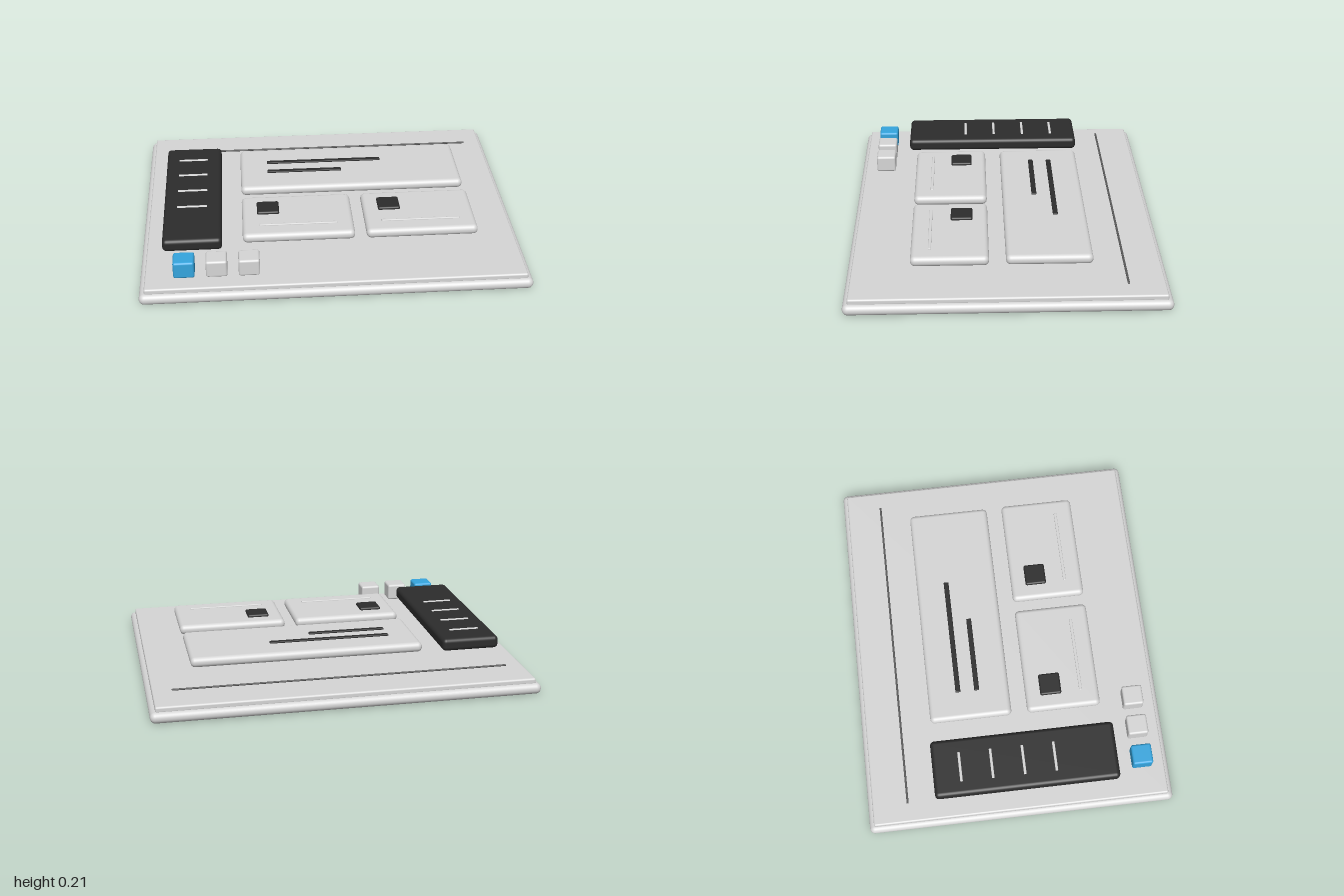
import * as THREE from 'three';
import { RoundedBoxGeometry } from 'three/addons/geometries/RoundedBoxGeometry.js';

const paint = (name, color) => {
  const m = new THREE.MeshStandardMaterial({ color });
  m.name = name;
  return m;
};

export function createModel() {
  const grey = paint('light grey', 0xd6d6d6);
  const dark = paint('charcoal', 0x2c2c2c);
  const mid = paint('mid grey', 0x5a5a5a);
  const blue = paint('blue', 0x35a5de);

  const group = new THREE.Group();
  group.name = 'dashboardPanel';

  // Rounded slab given by its extents on each axis
  function slab(name, material, [x0, x1], [y0, y1], [z0, z1], radius) {
    const w = x1 - x0, h = y1 - y0, d = z1 - z0;
    const r = Math.min(radius, Math.min(w, h, d) * 0.49);
    const mesh = new THREE.Mesh(new RoundedBoxGeometry(w, h, d, 4, r), material);
    mesh.position.set((x0 + x1) / 2, (y0 + y1) / 2, (z0 + z1) / 2);
    mesh.name = name;
    group.add(mesh);
  }

  // Base plate, raised tray and header rule
  slab('basePlate', grey, [-1, 1], [0, 0.057], [-0.815, 0.815], 0.028);
  slab('tray', grey, [-0.973, 0.973], [0.05, 0.082], [-0.79, 0.79], 0.01);
  slab('headerRule', mid, [-0.875, 0.875], [0.089, 0.097], [-0.606, -0.595], 0.003);

  // Floating sidebar with four menu strips
  slab('sidebar', dark, [-0.885, -0.577], [0.133, 0.201], [-0.45, 0.535], 0.022);
  for (const z of [-0.303, -0.135, 0.035, 0.203]) {
    slab('menuStrip', grey, [-0.815, -0.655], [0.195, 0.206], [z - 0.007, z + 0.007], 0.003);
  }

  // Large card with two text bars
  const cardY = [0.133, 0.186];
  slab('largeCard', grey, [-0.47, 0.76], cardY, [-0.435, 0.005], 0.025);
  slab('longBar', dark, [-0.32, 0.325], [0.18, 0.194], [-0.284, -0.257], 0.004);
  slab('shortBar', dark, [-0.32, 0.095], [0.18, 0.194], [-0.182, -0.155], 0.004);

  // Two small cards, each with an icon tile and a caption strip
  for (const x of [-0.47, 0.177]) {
    slab('smallCard', grey, [x, x + 0.587], cardY, [0.09, 0.487], 0.025);
    slab('iconTile', dark, [x + 0.08, x + 0.198], [0.178, 0.2], [0.17, 0.285], 0.01);
    slab('captionStrip', grey, [x + 0.087, x + 0.5], [0.18, 0.192], [0.382, 0.398], 0.004);
  }

  // Row of three floating cubes, the first one highlighted
  [-0.772, -0.607, -0.442].forEach((x, i) => {
    slab('buttonCube', i === 0 ? blue : grey, [x - 0.054, x + 0.054], [0.094, 0.186], [0.612, 0.72], 0.012);
  });

  return group;
}
